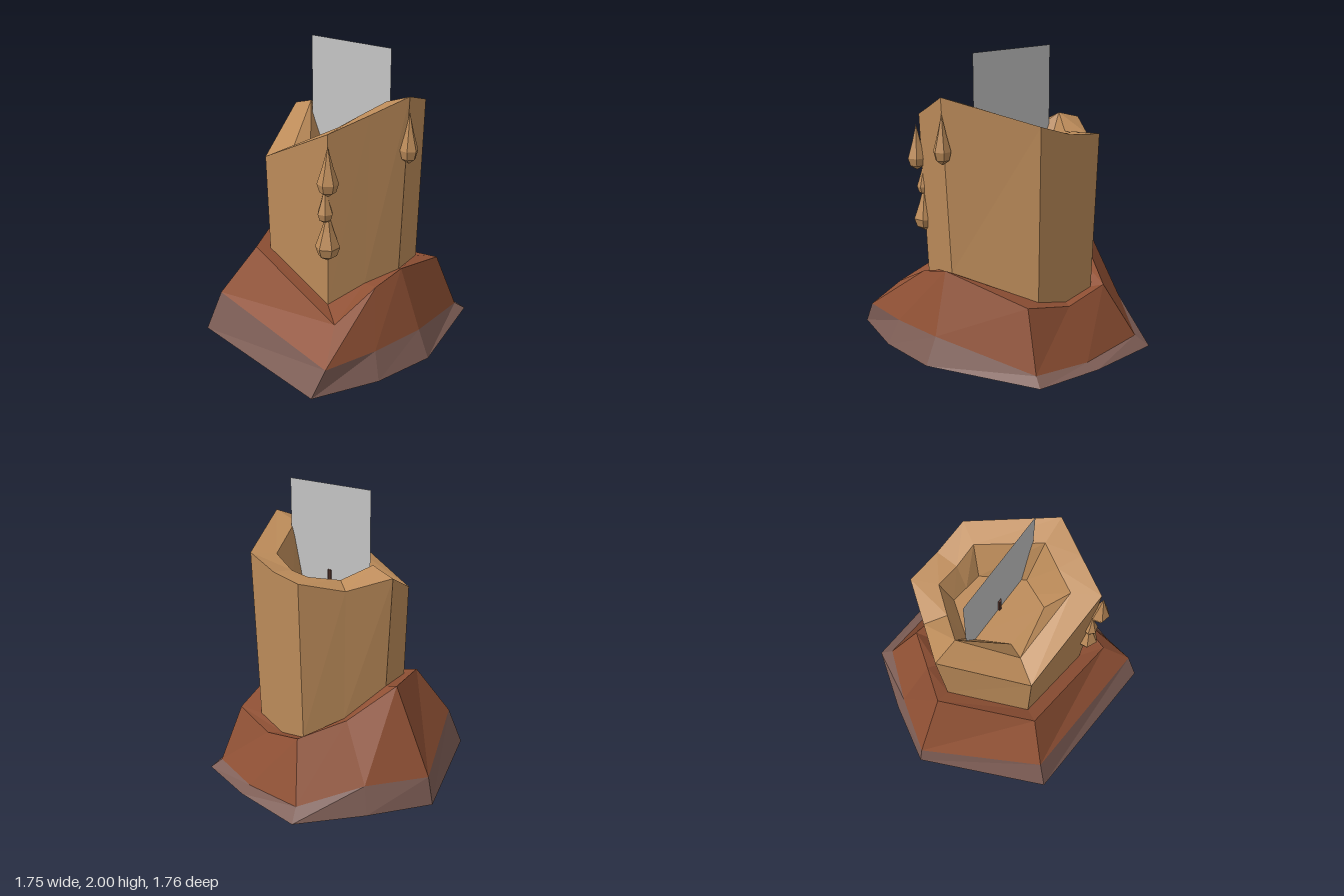
import * as THREE from 'three';

const mat = (name, color, flat = true) => {
  const m = new THREE.MeshStandardMaterial({ color, side: THREE.DoubleSide, flatShading: flat });
  m.name = name;
  return m;
};

// Joins rings of [x, y, z] corners from one to the next; cap closes the last ring
function loft(rings, cap = false) {
  const n = rings[0].length, pos = rings.flat(2), idx = [];
  for (let r = 0; r < rings.length - 1; r++) {
    for (let i = 0; i < n; i++) {
      const j = (i + 1) % n, a = r * n + i, b = r * n + j;
      idx.push(a, b, b + n, a, b + n, a + n);
    }
  }
  if (cap) {
    const last = (rings.length - 1) * n;
    for (let i = 1; i < n - 1; i++) idx.push(last, last + i, last + i + 1);
  }
  const g = new THREE.BufferGeometry();
  g.setAttribute('position', new THREE.Float32BufferAttribute(pos, 3));
  g.setIndex(idx);
  const flat = g.toNonIndexed();
  flat.computeVertexNormals();
  return flat;
}

export function createModel() {
  const wax = mat('tan wax', 0xbd8c5a);
  const rust = mat('rust brown', 0x8f5034);
  const rim = mat('dull brown', 0x7d5d55);
  const wickMat = mat('dark wick', 0x5b3a32);
  const grey = mat('grey', 0xc4c4c4);

  const group = new THREE.Group();
  const add = (name, geometry, material) => {
    const m = new THREE.Mesh(geometry, material);
    m.name = name;
    group.add(m);
    return m;
  };

  // Rings run left, front left, front right, ..., back left around the uneven hexagon
  const foot = [[-0.88, 0, -0.09], [-0.48, 0, 0.8], [0.69, 0, 0.88], [0.84, 0, 0.44], [0.875, 0, 0],
    [0.6, 0, -0.75], [0.15, 0, -0.85], [-0.37, 0, -0.885], [-0.65, 0, -0.49]];
  const band = [[-0.84, 0.19, -0.09], [-0.42, 0.27, 0.71], [0.71, 0.165, 0.78], [0.77, 0.17, 0.4], [0.79, 0.18, 0],
    [0.56, 0.05, -0.68], [0.16, 0.03, -0.77], [-0.32, 0.07, -0.8], [-0.6, 0.18, -0.45]];
  const collar = [[-0.565, 0.76, -0.1], [-0.25, 0.61, 0.52], [0.595, 0.36, 0.59], [0.645, 0.53, 0.27], [0.655, 0.59, 0.04],
    [0.485, 0.44, -0.54], [0.15, 0.37, -0.6], [-0.17, 0.44, -0.63], [-0.365, 0.54, -0.365]];
  const waxFoot = [[-0.465, 0.73, -0.09], [-0.205, 0.59, 0.43], [0.42, 0.4, 0.48], [0.525, 0.51, 0.25], [0.615, 0.57, 0.02],
    [0.33, 0.42, -0.49], [0.09, 0.36, -0.52], [-0.14, 0.41, -0.545], [-0.3, 0.52, -0.32]];
  const waxTop = [[-0.515, 1.48, -0.1], [-0.22, 1.25, 0.44], [0.45, 1.55, 0.505], [0.565, 1.645, 0.26], [0.675, 1.74, 0.025],
    [0.35, 1.58, -0.52], [0.1, 1.5, -0.55], [-0.15, 1.475, -0.58], [-0.33, 1.41, -0.34]];
  const lip = [[-0.33, 1.53, -0.08], [-0.12, 1.3, 0.28], [0.355, 1.54, 0.33], [0.42, 1.61, 0.18], [0.49, 1.68, 0.03],
    [0.26, 1.56, -0.37], [0.1, 1.48, -0.39], [-0.07, 1.47, -0.41], [-0.2, 1.44, -0.245]];
  const floorY = 1.275;
  const well = [[-0.21, -0.09], [-0.07, 0.17], [0.27, 0.2], [0.315, 0.1], [0.365, -0.01],
    [0.2, -0.29], [0.08, -0.305], [-0.04, -0.32], [-0.125, -0.205]].map(([x, z]) => [x, floorY, z]);

  add('holderRim', loft([foot, band]), rim);
  add('holderCollar', loft([band, collar, waxFoot]), rust);
  add('candleBody', loft([waxFoot, waxTop, lip, well], true), wax);

  // Wick
  const wick = add('wick', new THREE.CylinderGeometry(0.015, 0.015, 0.15, 8), wickMat);
  wick.position.set(0.09, 1.34, -0.04);

  // Flame card
  const card = add('flameCard', new THREE.PlaneGeometry(0.73, 0.73), grey);
  card.position.set(0.092, 1.635, -0.04);

  // Wax drips: bottom, height, fattest radius, centre
  const drip = (name, x, y, z, h, r, turn) => {
    const profile = [[0, 0], [0.75, 0.1], [1, 0.27], [0.5, 0.6], [0, 1]]
      .map(([a, b]) => new THREE.Vector2(a * r, b * h));
    const m = add(name, new THREE.LatheGeometry(profile, 6), wax);
    m.position.set(x, y, z);
    m.rotation.y = turn;
  };
  drip('upperFrontDrip', 0.465, 1.16, 0.52, 0.32, 0.068, 0.3);
  drip('middleFrontDrip', 0.42, 0.97, 0.5, 0.25, 0.053, 0.8);
  drip('lowerFrontDrip', 0.43, 0.72, 0.49, 0.34, 0.08, 0.1);
  drip('sideDrip', 0.675, 1.31, 0.02, 0.33, 0.06, 0.5);

  return group;
}
